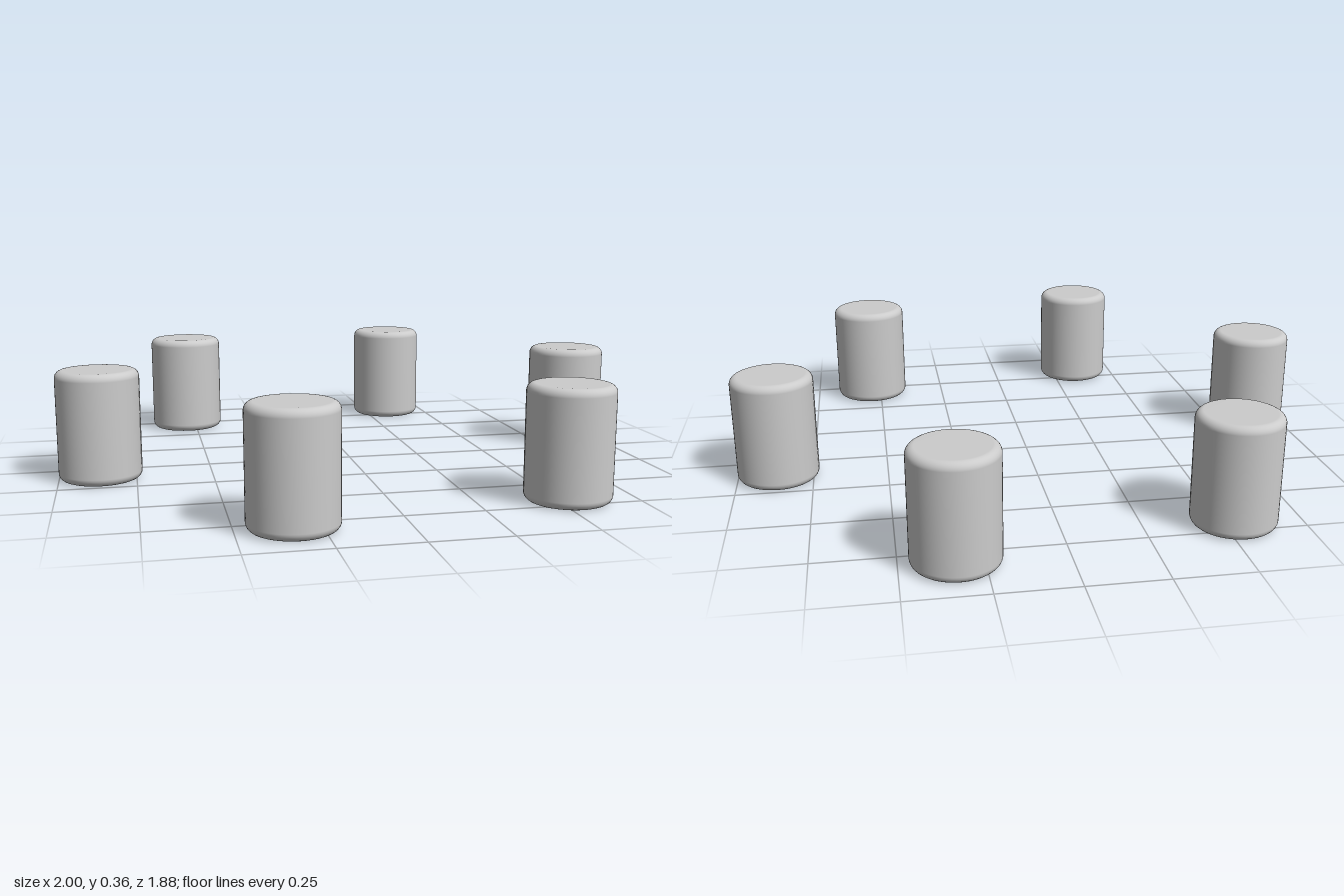
import * as THREE from 'three';

const COUNT = 6, RING = 0.873, START = THREE.MathUtils.degToRad(-7.6);
const RADIUS = 0.135, HEIGHT = 0.363, BEVEL = 0.025, STEPS = 6;

// Profile of a solid cylinder with rounded rims, from bottom centre to top centre
function pegProfile() {
  const points = [new THREE.Vector2(0, 0)];
  const rim = (centreY, from) => {
    for (let i = 0; i <= STEPS; i++) {
      const a = from + (i / STEPS) * Math.PI / 2;
      points.push(new THREE.Vector2(RADIUS - BEVEL + BEVEL * Math.cos(a), centreY + BEVEL * Math.sin(a)));
    }
  };
  rim(BEVEL, -Math.PI / 2);
  rim(HEIGHT - BEVEL, 0);
  points.push(new THREE.Vector2(0, HEIGHT));
  return points;
}

export function createModel() {
  const group = new THREE.Group();
  group.name = 'pegRing';
  const material = new THREE.MeshStandardMaterial({ color: 0xcccccc });
  const geometry = new THREE.LatheGeometry(pegProfile(), 64);

  // Six equal pegs evenly spaced on a circle
  for (let i = 0; i < COUNT; i++) {
    const angle = START + (i / COUNT) * Math.PI * 2;
    const peg = new THREE.Mesh(geometry, material);
    peg.name = `peg${i + 1}`;
    peg.position.set(RING * Math.cos(angle), 0, RING * Math.sin(angle));
    group.add(peg);
  }
  return group;
}
